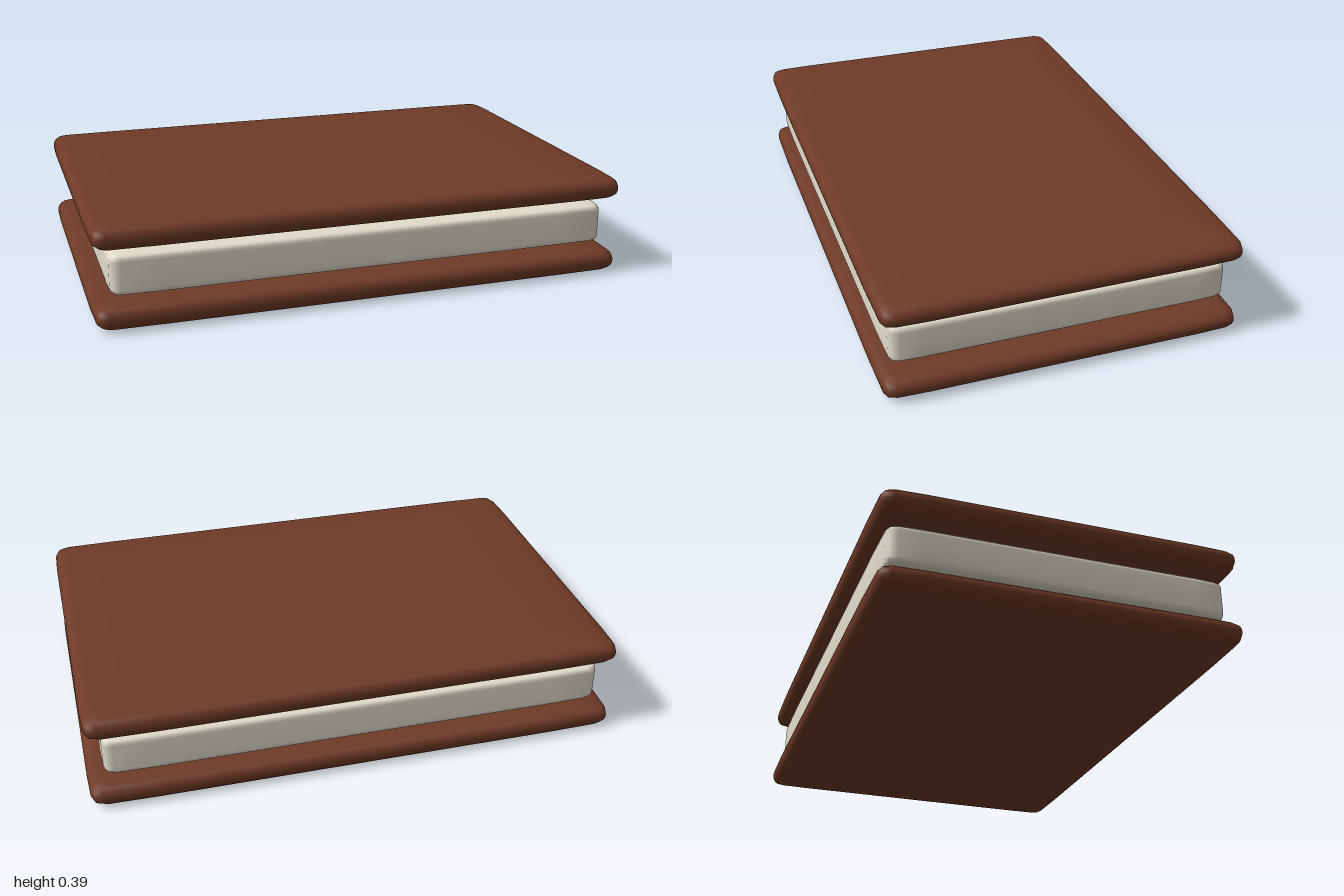
import * as THREE from 'three';
import { mergeVertices } from 'three/addons/utils/BufferGeometryUtils.js';

// Pillow-like slab: a flat middle rectangle that tapers to a softly rounded rim.
// profile holds [t, h]: t runs from the middle rectangle (0) to the rim (1), h is half the height.
function slabGeometry(midX, midZ, rimX, rimZ, cut, profile) {
  const corner = [
    [rimX, midZ], [rimX - cut * 0.25, rimZ - cut * 3], [rimX - cut, rimZ - cut],
    [rimX - cut * 3, rimZ - cut * 0.25], [midX, rimZ],
  ];
  const flip = (sx, sz) => corner.map(([x, z]) => [x * sx, z * sz]);
  const outline = [
    ...flip(1, 1), ...flip(-1, 1).reverse(), ...flip(-1, -1), ...flip(1, -1).reverse(),
  ];
  const n = outline.length;
  const rows = [...profile, ...profile.slice(0, -1).reverse().map(([t, h]) => [t, -h])];
  const positions = [], index = [];
  for (const [t, h] of rows) {
    for (const [x, z] of outline) {
      positions.push(
        THREE.MathUtils.lerp(Math.sign(x) * midX, x, t), h,
        THREE.MathUtils.lerp(Math.sign(z) * midZ, z, t));
    }
  }
  for (let r = 0; r < rows.length - 1; r++) {
    for (let i = 0; i < n; i++) {
      const a = r * n + i, b = r * n + (i + 1) % n;
      index.push(a, b, a + n, b, b + n, a + n);
    }
  }
  // Flat middle, top and bottom
  const last = (rows.length - 1) * n;
  const [p, q, r, s] = [0, 5, 10, 15];
  index.push(p, r, q, p, s, r);
  index.push(last + p, last + q, last + r, last + p, last + r, last + s);

  const geometry = new THREE.BufferGeometry();
  geometry.setAttribute('position', new THREE.Float32BufferAttribute(positions, 3));
  geometry.setIndex(index);
  const merged = mergeVertices(geometry, 1e-4);
  merged.computeVertexNormals();
  return merged;
}

export function createModel() {
  const group = new THREE.Group();
  const chocolate = new THREE.MeshStandardMaterial({ color: 0x6f3a27 });
  chocolate.name = 'chocolate wafer';
  const cream = new THREE.MeshStandardMaterial({ color: 0xe3dccc });
  cream.name = 'vanilla cream';

  const add = (name, geometry, material, y) => {
    const mesh = new THREE.Mesh(geometry, material);
    mesh.name = name;
    mesh.position.y = y;
    group.add(mesh);
  };

  // Two matching wafers
  const wafer = slabGeometry(0.75, 0.5, 1, 0.66, 0.015, [
    [0, 0.05], [0.4, 0.045], [0.8, 0.039], [0.92, 0.034], [0.98, 0.022], [1, 0.008], [1, 0],
  ]);
  add('bottomWafer', wafer, chocolate, 0.05);
  add('topWafer', wafer, chocolate, 0.34);

  // Ice cream block floating between the wafers
  const filling = slabGeometry(0.75, 0.5, 0.942, 0.624, 0.013, [
    [0, 0.078], [0.5, 0.076], [0.86, 0.073], [0.95, 0.069], [0.99, 0.062], [1, 0.05], [1, 0],
  ]);
  add('creamFilling', filling, cream, 0.197);

  return group;
}
